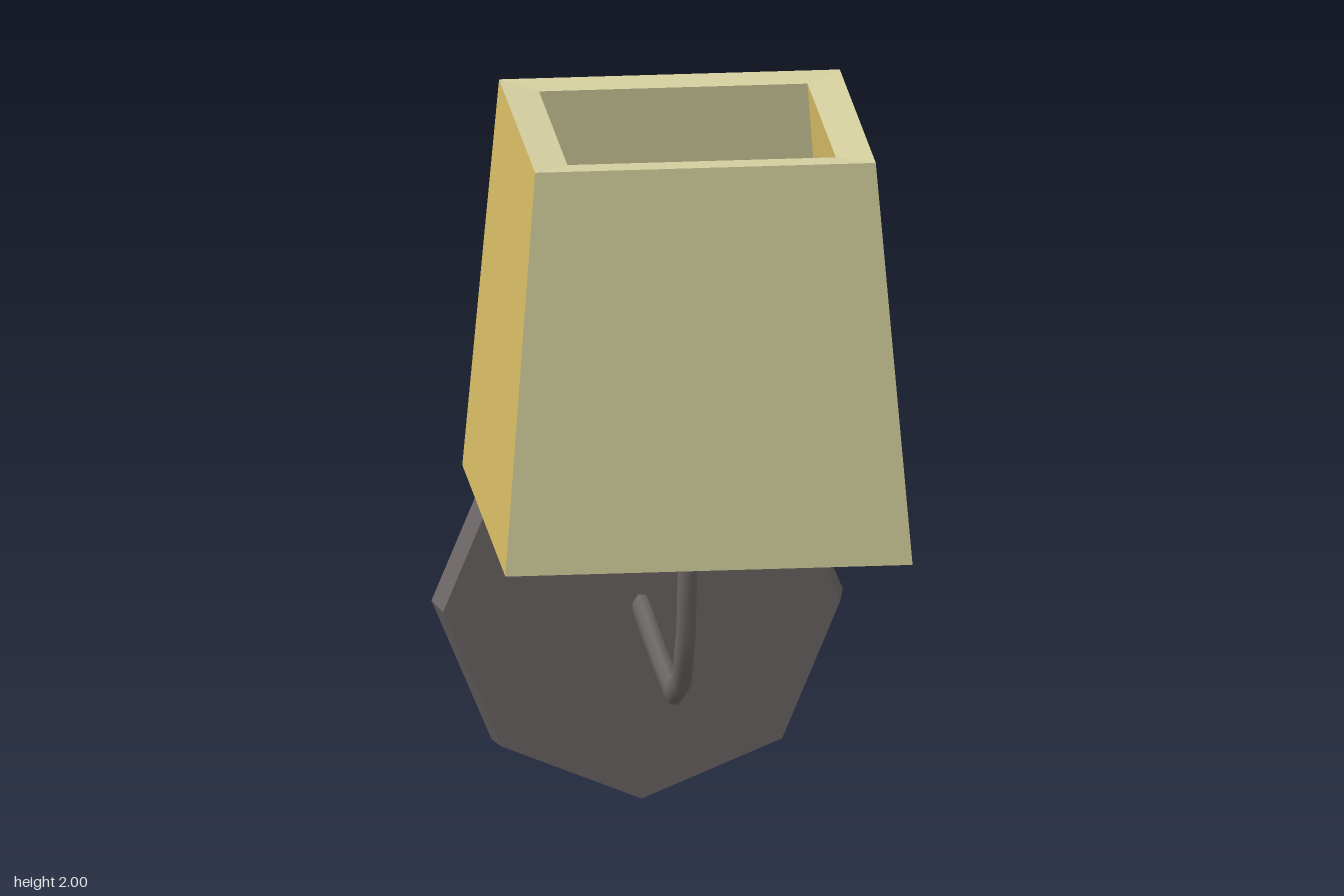
import * as THREE from 'three';

const metal = new THREE.MeshStandardMaterial({ color: 0x6b6565 });
metal.name = 'dark metal';
const cream = new THREE.MeshStandardMaterial({ color: 0xd4d09f });
cream.name = 'cream fabric';
const amber = new THREE.MeshStandardMaterial({ color: 0xd6bb64 });
amber.name = 'amber fabric';

function mesh(name, geometry, material) {
  const m = new THREE.Mesh(geometry, material);
  m.name = name;
  return m;
}

function build(positions, index) {
  const g = new THREE.BufferGeometry();
  g.setAttribute('position', new THREE.Float32BufferAttribute(positions, 3));
  g.setIndex(index);
  g.computeVertexNormals();
  return g;
}

// Square tapered shade: a closed wall profile [half width, height], mitred on four sides
function createShade() {
  const shade = new THREE.Group();
  shade.name = 'shade';
  const profile = [[0.49, 1.02], [0.41, 2], [0.323, 1.992], [0.403, 1.01]];
  const names = ['outerPanel', 'topRim', 'innerPanel', 'bottomRim'];
  for (let side = 0; side < 4; side++) {
    profile.forEach(([a, ya], i) => {
      const [b, yb] = profile[(i + 1) % 4];
      const g = build([-a, ya, a, a, ya, a, b, yb, b, -b, yb, b], [0, 1, 2, 0, 2, 3]);
      g.rotateY(side * Math.PI / 2);
      const isWall = i % 2 === 0;
      shade.add(mesh(names[i], g, isWall && side % 2 === 1 ? amber : cream));
    });
  }
  shade.position.z = 0.345;
  return shade;
}

// Bent arm: oval rings swept along a path in the YZ plane, with a capped top
function createArm() {
  const path = [[-0.72, 0.495], [-0.2, 0.49], [0.04, 0.495], [0.22, 0.572],
    [0.315, 0.72], [0.345, 0.89], [0.345, 1.3]].map(([z, y]) => new THREE.Vector2(z, y));
  const sides = 8, halfWidth = 0.022, halfDepth = 0.032;
  const positions = [], index = [];
  path.forEach((p, i) => {
    const before = path[Math.max(i - 1, 0)], after = path[Math.min(i + 1, path.length - 1)];
    const t = after.clone().sub(before).normalize();
    for (let j = 0; j < sides; j++) {
      const angle = (j + 0.5) / sides * Math.PI * 2;
      const s = Math.sin(angle) * halfDepth / Math.cos(Math.PI / sides);
      const x = Math.cos(angle) * halfWidth / Math.cos(Math.PI / sides);
      positions.push(x, p.y + t.x * s, p.x - t.y * s);
      if (i > 0) {
        const k = (j + 1) % sides, a = (i - 1) * sides, b = i * sides;
        index.push(a + j, a + k, b + k, a + j, b + k, b + j);
      }
    }
  });
  const arm = new THREE.Group();
  arm.name = 'arm';
  arm.add(mesh('armTube', build(positions, index), metal));
  const cap = new THREE.CircleGeometry(1, sides, Math.PI / sides);
  cap.rotateX(-Math.PI / 2).scale(halfWidth * 1.08, 1, halfDepth * 1.08).translate(0, 1.3, 0.345);
  arm.add(mesh('armEnd', cap, metal));
  return arm;
}

// Eight-sided wall plate with a bevelled back
function createWallPlate() {
  const profile = [[0, -0.835], [0.34, -0.835], [0.495, -0.8], [0.478, -0.695], [0, -0.695]]
    .map(([r, z]) => new THREE.Vector2(r, z));
  const g = new THREE.LatheGeometry(profile, 8).toNonIndexed();
  g.computeVertexNormals();
  g.rotateX(Math.PI / 2);
  const plate = mesh('wallPlate', g, metal);
  plate.position.y = 0.497;
  return plate;
}

export function createModel() {
  const model = new THREE.Group();
  model.name = 'wallLamp';
  model.add(createShade(), createArm(), createWallPlate());
  return model;
}
